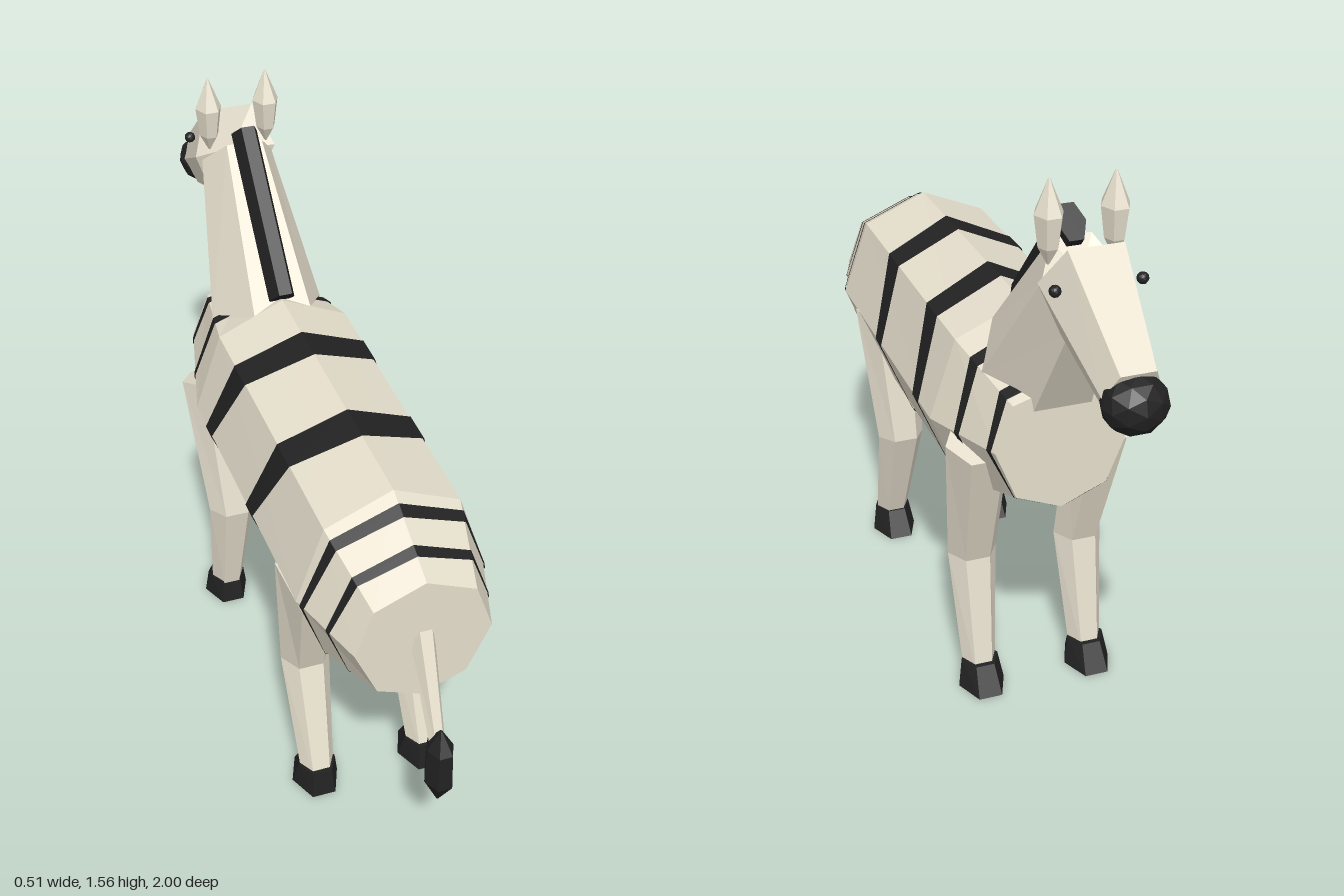
import * as THREE from 'three';

const cream = new THREE.MeshStandardMaterial({ name: 'cream coat', color: 0xe6dfcd, flatShading: true });
const black = new THREE.MeshStandardMaterial({ name: 'black', color: 0x222223, flatShading: true, side: THREE.DoubleSide });

// Joins rings of [x, y, z] points into a faceted skin, optionally with fan caps
function loft(rings, caps = true) {
  const tris = [];
  const n = rings[0].length;
  for (let r = 0; r < rings.length - 1; r++) {
    for (let i = 0; i < n; i++) {
      const j = (i + 1) % n;
      const [a, b, c, d] = [rings[r][i], rings[r][j], rings[r + 1][j], rings[r + 1][i]];
      tris.push([a, b, c], [a, c, d]);
    }
  }
  if (caps) {
    const centre = ring => [0, 1, 2].map(k => ring.reduce((s, p) => s + p[k], 0) / n);
    const first = rings[0], last = rings[rings.length - 1];
    const c0 = centre(first), c1 = centre(last);
    for (let i = 0; i < n; i++) {
      const j = (i + 1) % n;
      tris.push([c0, first[j], first[i]], [c1, last[i], last[j]]);
    }
  }
  // Turn the skin outward if its signed volume is negative
  let volume = 0;
  for (const [a, b, c] of tris) {
    volume += a[0] * (b[1] * c[2] - b[2] * c[1]) + a[1] * (b[2] * c[0] - b[0] * c[2]) + a[2] * (b[0] * c[1] - b[1] * c[0]);
  }
  if (volume < 0) tris.forEach(t => t.reverse());
  const geometry = new THREE.BufferGeometry();
  geometry.setAttribute('position', new THREE.Float32BufferAttribute(tris.flat(2), 3));
  geometry.computeVertexNormals();
  return geometry;
}

// Six-sided ring: back edge, front edge, half width, centre x, and shift of the side corners
function hex(zb, yb, zf, yf, rx, cx = 0, dz = 0, dy = 0, flat = 0.5) {
  const zm = (zb + zf) / 2 + dz, ym = (yb + yf) / 2 + dy, h = rx * flat;
  return [[cx - h, yb, zb], [cx + h, yb, zb], [cx + rx, ym, zm], [cx + h, yf, zf], [cx - h, yf, zf], [cx - rx, ym, zm]];
}

// Barrel sections: z, then (x, y) from spine to belly
const SECTIONS = [
  { z: 0.83, p: [[0, 0.93], [0.13, 0.875], [0.175, 0.75], [0.115, 0.62], [0, 0.575]] },
  { z: 0.61, p: [[0, 1.04], [0.175, 0.965], [0.245, 0.76], [0.17, 0.57], [0, 0.5]] },
  { z: -0.22, p: [[0, 1.07], [0.18, 0.99], [0.25, 0.775], [0.17, 0.58], [0, 0.505]] },
  { z: -0.51, p: [[0, 0.98], [0.13, 0.94], [0.175, 0.815], [0.12, 0.68], [0, 0.63]] },
];

// Point k of the barrel's half profile at any z
function barrelPoint(k, z) {
  let i = 0;
  while (i < SECTIONS.length - 2 && z < SECTIONS[i + 1].z) i++;
  const a = SECTIONS[i], b = SECTIONS[i + 1];
  const t = THREE.MathUtils.clamp((z - a.z) / (b.z - a.z), 0, 1);
  return [0, 1].map(m => a.p[k][m] + (b.p[k][m] - a.p[k][m]) * t);
}

// Full ring from a function giving [x, y, z] for each half-profile point
function mirrorRing(f) {
  const half = [0, 1, 2, 3, 4].map(f);
  return [...half, ...half.slice(1, 4).reverse().map(([x, y, z]) => [-x, y, z])];
}

// Slanted edge of a stripe, lying just above the coat
function stripeEdge(yTop, zTop, yBottom, zBottom) {
  return mirrorRing(k => {
    let z = zTop, p;
    for (let i = 0; i < 4; i++) {
      p = barrelPoint(k, z);
      z = zBottom + (zTop - zBottom) * (p[1] - yBottom) / (yTop - yBottom);
      z = THREE.MathUtils.clamp(z, -0.51, 0.83);
    }
    p = barrelPoint(k, z);
    return [p[0] * 1.014, 0.77 + (p[1] - 0.77) * 1.014, z];
  });
}

export function createModel() {
  const model = new THREE.Group();
  model.name = 'stripedAnimal';
  const add = (name, geometry, material, parent = model) => {
    const mesh = new THREE.Mesh(geometry, material);
    mesh.name = name;
    parent.add(mesh);
    return mesh;
  };

  // Barrel and its wedge-shaped stripes
  add('body', loft(SECTIONS.map(s => mirrorRing(k => [...s.p[k], s.z]))), cream);
  const stripes = [
    [0.97, 0.772, 0.743, 0.55, 0.71],
    [1.02, 0.68, 0.645, 0.54, 0.613],
    [1.05, 0.40, 0.29, 0.5, 0.16],
    [1.06, 0.045, -0.06, 0.5, -0.19],
    [0.99, -0.30, -0.34, 0.56, -0.375],
    [0.97, -0.445, -0.482, 0.63, -0.51],
  ];
  for (const [yTop, zBack, zFront, yBottom, zEnd] of stripes) {
    add('stripe', loft([stripeEdge(yTop, zBack, yBottom, zEnd), stripeEdge(yTop, zFront, yBottom, zEnd)], false), black);
  }

  // Neck and mane
  add('neck', loft([hex(-0.215, 1.03, -0.485, 0.87, 0.16), hex(-0.54, 1.385, -0.665, 1.2, 0.1, 0, -0.01, 0.02)]), cream);
  add('mane', loft([
    hex(-0.19, 1.105, -0.26, 1.04, 0.036), hex(-0.505, 1.45, -0.575, 1.385, 0.036),
  ]), black);

  // Head, muzzle and eyes
  add('head', loft([
    hex(-0.69, 1.42, -0.66, 1.195, 0.115, 0, 0.05, 0.01, 0.6),
    hex(-0.945, 1.225, -0.88, 1.095, 0.072, 0, 0, 0, 0.6),
  ]), cream);
  const muzzle = add('muzzle', new THREE.IcosahedronGeometry(1, 1), black);
  muzzle.scale.set(0.081, 0.074, 0.072);
  muzzle.position.set(0, 1.146, -0.93);

  for (const side of [1, -1]) {
    const eye = add('eye', new THREE.IcosahedronGeometry(0.015, 1), black);
    eye.position.set(side * 0.106, 1.335, -0.712);

    // Leaf-shaped ears
    const ear = [[1.35, 0.003], [1.395, 0.026], [1.475, 0.036], [1.56, 0.002]]
      .map(([y, r]) => hex(-0.602 + r * 1.05, y, -0.602 - r * 1.05, y, r, side * 0.081));
    add('ear', loft(ear), cream);

    // Legs with bent knees and flared hooves
    const leg = (name, rings, hoof) => {
      const group = new THREE.Group();
      group.name = name;
      model.add(group);
      add('limb', loft(rings), cream, group);
      add('hoof', loft(hoof), black, group);
    };
    leg('frontLeg', [
      hex(-0.285, 0.79, -0.43, 0.745, 0.088, side * 0.165),
      hex(-0.2, 0.38, -0.305, 0.375, 0.067, side * 0.15),
      hex(-0.272, 0.06, -0.36, 0.05, 0.046, side * 0.153),
    ], [
      hex(-0.272, 0.073, -0.37, 0.073, 0.051, side * 0.153),
      hex(-0.26, 0, -0.415, 0, 0.064, side * 0.153),
    ]);
    leg('backLeg', [
      hex(0.55, 0.66, 0.39, 0.72, 0.088, side * 0.165, 0, 0.08),
      hex(0.452, 0.37, 0.345, 0.38, 0.067, side * 0.15),
      hex(0.55, 0.05, 0.465, 0.06, 0.046, side * 0.153),
    ], [
      hex(0.555, 0.073, 0.455, 0.073, 0.051, side * 0.153),
      hex(0.567, 0, 0.412, 0, 0.064, side * 0.153),
    ]);
  }

  // Tail and tuft
  add('tail', loft([hex(0.84, 0.79, 0.805, 0.69, 0.032), hex(0.955, 0.52, 0.925, 0.5, 0.02)]), cream);
  const tuft = [[0.34, 0.003], [0.41, 0.037], [0.515, 0.034], [0.57, 0.003]]
    .map(([y, r]) => hex(0.957 + r * 1.15, y, 0.957 - r * 1.15, y, r));
  add('tailTuft', loft(tuft), black);

  return model;
}
